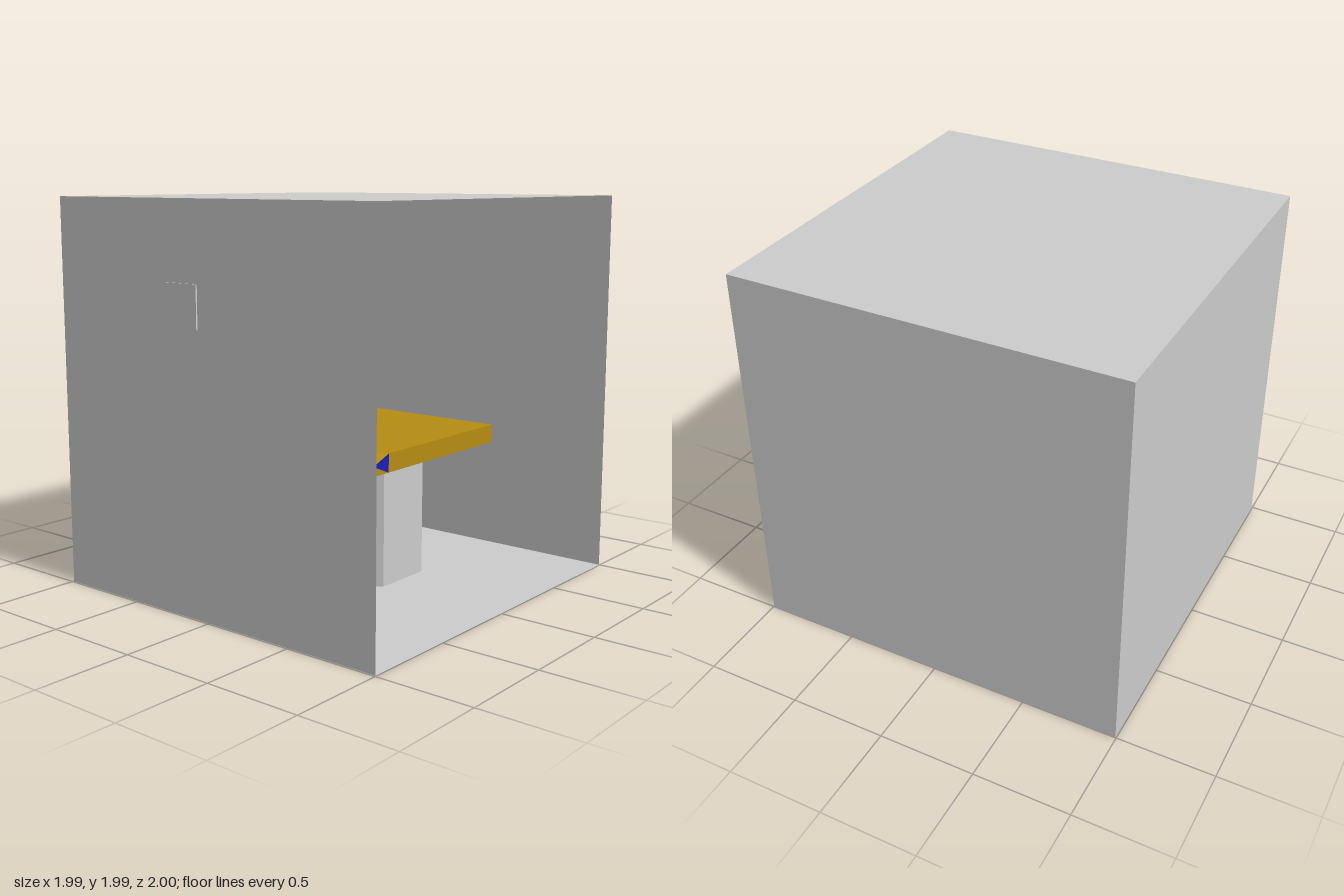
import * as THREE from 'three';
import { ConvexGeometry } from 'three/addons/geometries/ConvexGeometry.js';

const GREY = 0xcccccc;

export function createModel() {
  const model = new THREE.Group();

  const add = (name, geometry, color = GREY, options = {}) => {
    const material = new THREE.MeshStandardMaterial({ color, flatShading: true, ...options });
    const mesh = new THREE.Mesh(geometry, material);
    mesh.name = name;
    model.add(mesh);
    return mesh;
  };

  // Thin-walled room: a cube without its +x wall (the first six indices)
  const side = 1.992;
  const shell = new THREE.BoxGeometry(side, side, side);
  shell.setIndex(Array.from(shell.index.array).slice(6));
  shell.clearGroups();
  add('room', shell, GREY, { side: THREE.DoubleSide }).position.set(0, side / 2, -0.004);

  // Small block set into the front wall, barely proud of it
  add('wallBlock', new THREE.BoxGeometry(0.21, 0.21, 0.21)).position.set(-0.145, 1.5, 0.895);

  // Hexagonal table pedestal, corners pointing to +z and -z
  const bottom = 0.015, under = 0.68, top = 0.775;
  const pedestal = new THREE.CylinderGeometry(0.333, 0.333, under - bottom, 6);
  add('tablePedestal', pedestal).position.set(0.05, (under + bottom) / 2, -0.092);

  // Square table top with its upper front left corner cut off
  const half = 0.52, front = 0.4, back = -0.64, cutZ = 0.28, tipY = 0.73;
  const corners = [
    [half, tipY, front], [half, top, cutZ], [half - 0.12, top, front], // the cut
    [half, top, back], [-half, top, front], [-half, top, back],
  ];
  for (const x of [-half, half]) for (const z of [back, front]) corners.push([x, under, z]);
  add('tableTop', new ConvexGeometry(corners.map((p) => new THREE.Vector3(...p))), 0xb58c12);

  // Blue triangle on the edge of the table top, pointing to the front
  const x = half + 0.002;
  const triangle = new THREE.BufferGeometry().setFromPoints([
    new THREE.Vector3(x, under, cutZ),
    new THREE.Vector3(x, top, cutZ),
    new THREE.Vector3(x, tipY, front),
  ]);
  triangle.computeVertexNormals();
  add('edgeMarker', triangle, 0x1c1cb5, { side: THREE.DoubleSide });

  return model;
}
